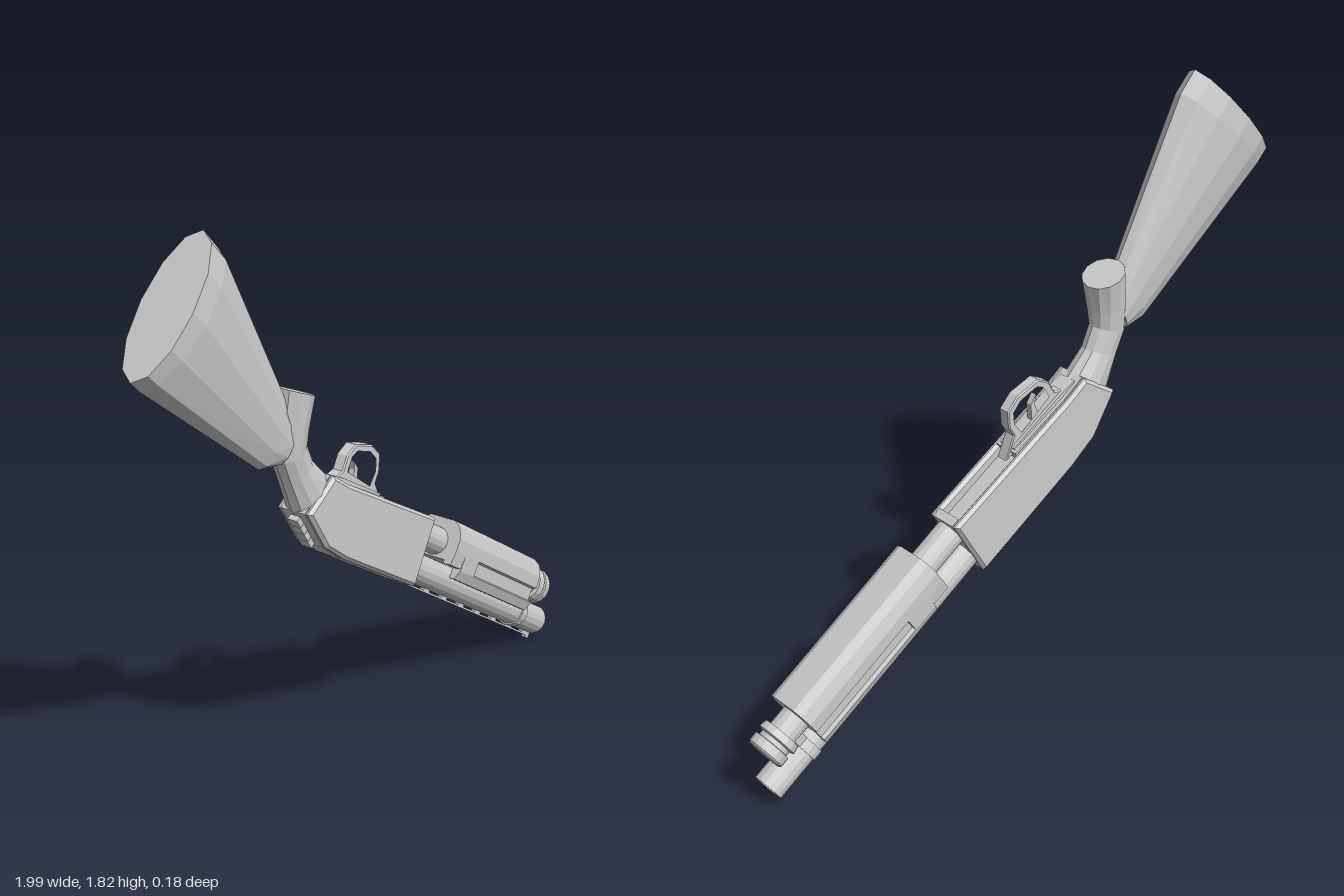
import * as THREE from 'three';

const mat = new THREE.MeshStandardMaterial({ color: 0xcccccc, flatShading: true });
const thin = new THREE.MeshStandardMaterial({ color: 0xcccccc, flatShading: true, side: THREE.DoubleSide });

function add(parent, name, geometry, material = mat) {
  const mesh = new THREE.Mesh(geometry, material);
  mesh.name = name;
  parent.add(mesh);
  return mesh;
}

const toShape = (pts) => new THREE.Shape(pts.map(([x, y]) => new THREE.Vector2(x, y)));

// Side profile extruded from z0 to z1, bevelled inside those limits
function slab(pts, z0, z1, bevel = 0, holes = []) {
  const shape = toShape(pts);
  holes.forEach((h) => shape.holes.push(toShape(h)));
  const geo = new THREE.ExtrudeGeometry(shape, {
    depth: z1 - z0 - 2 * bevel, bevelEnabled: bevel > 0, bevelThickness: bevel,
    bevelSize: bevel, bevelOffset: -bevel, bevelSegments: 1,
  });
  return geo.translate(0, 0, z0 + bevel);
}

// Elliptical sections, each [x1, y1, x2, y2, half width], joined into a closed body
function loft(sections, sides = 12) {
  const pos = [], idx = [], n = sections.length;
  for (const [x1, y1, x2, y2, hz] of sections) {
    for (let j = 0; j < sides; j++) {
      const t = (j / sides) * Math.PI * 2, c = Math.cos(t) / 2;
      pos.push((x1 + x2) / 2 + c * (x2 - x1), (y1 + y2) / 2 + c * (y2 - y1), Math.sin(t) * hz);
    }
  }
  for (let i = 0; i < n - 1; i++) {
    for (let j = 0; j < sides; j++) {
      const a = i * sides + j, b = i * sides + (j + 1) % sides;
      idx.push(a, b, a + sides, b, b + sides, a + sides);
    }
  }
  const last = (n - 1) * sides;
  for (let j = 1; j < sides - 1; j++) {
    idx.push(0, j + 1, j, last, last + j, last + j + 1);
  }
  const geo = new THREE.BufferGeometry();
  geo.setAttribute('position', new THREE.Float32BufferAttribute(pos, 3));
  geo.setIndex(idx);
  const flat = geo.toNonIndexed();
  flat.computeVertexNormals();
  return flat;
}

// Turned part along the x axis, profile given as [x, radius]
function turned(profile, y = 0, sides = 16) {
  const geo = new THREE.LatheGeometry(profile.map(([x, r]) => new THREE.Vector2(r, x)), sides);
  return geo.rotateZ(-Math.PI / 2).translate(0, y, 0);
}

// Symmetric (z, y) half outline extruded along x
function rail(half, x0, x1) {
  const pts = [...half, ...half.map(([z, y]) => [-z, y]).reverse()];
  const geo = new THREE.ExtrudeGeometry(toShape(pts), { depth: x1 - x0, bevelEnabled: false });
  return geo.rotateY(Math.PI / 2).translate(x0, 0, 0);
}

function box(x0, x1, y0, y1, width) {
  return new THREE.BoxGeometry(x1 - x0, y1 - y0, width).translate((x0 + x1) / 2, (y0 + y1) / 2, 0);
}

export function createModel() {
  const model = new THREE.Group();
  model.name = 'shotgun';

  // Shoulder stock and pistol grip
  add(model, 'stock', loft([
    [-0.995, 1.5, -0.695, 1.83, 0.088],
    [-0.96, 1.465, -0.64, 1.77, 0.09],
    [-0.49, 1.095, -0.4, 1.31, 0.05],
    [-0.42, 1.085, -0.36, 1.2, 0.045],
  ]));
  add(model, 'grip', loft([
    [-0.4, 1.31, -0.28, 1.26, 0.07],
    [-0.415, 1.19, -0.295, 1.17, 0.057],
    [-0.415, 1.09, -0.3, 1.125, 0.05],
    [-0.385, 1.02, -0.27, 1.06, 0.048],
    [-0.345, 0.92, -0.21, 1.0, 0.055],
    [-0.25, 0.8, -0.13, 0.92, 0.056],
  ]));

  // Receiver: two side walls around a core with the loading port cut in
  const back = [[-0.15, 0.95], [-0.22, 1.0], [-0.34, 0.92], [-0.3, 0.855], [-0.26, 0.79], [-0.17, 0.72], [0.18, 0.5]];
  const wall = [[0.29, 0.69], ...back];
  const core = [[0.29, 0.69], [0.265, 0.705], [0.245, 0.675], [0.025, 0.81], [0.045, 0.84], ...back];
  add(model, 'receiverCore', slab(core, -0.042, 0.042));
  add(model, 'receiverLeftWall', slab(wall, 0.036, 0.062, 0.01));
  add(model, 'receiverRightWall', slab(wall, -0.062, -0.036, 0.01));

  // Trigger guard and trigger
  add(model, 'triggerGuard', slab(
    [[-0.2, 0.96], [-0.13, 0.975], [-0.107, 1.015], [-0.065, 1.037], [0.015, 1.01], [0.053, 0.97],
      [0.048, 0.915], [0.03, 0.885], [0.06, 0.81], [-0.15, 0.93]],
    -0.02, 0.02, 0.004,
    [[[-0.113, 0.965], [-0.088, 1.008], [-0.06, 1.02], [0.006, 0.996], [0.036, 0.963],
      [0.032, 0.92], [0.0, 0.88]]]));
  add(model, 'guardPlate', slab([[-0.2, 0.99], [-0.14, 0.96], [0.04, 0.85], [0.02, 0.82], [-0.2, 0.95]], -0.03, 0.03));
  add(model, 'trigger', slab([[-0.08, 0.9], [-0.06, 0.955], [-0.065, 0.985], [-0.045, 0.955], [-0.05, 0.89]], -0.01, 0.01));

  // Ridged safety on the wrist
  for (let i = 0; i < 4; i++) {
    const ridge = add(model, 'safetyRidge', new THREE.BoxGeometry(0.03, 0.018, 0.035));
    ridge.position.set(-0.328 + i * 0.016, 0.885 - i * 0.027, 0);
    ridge.rotation.z = -1.0;
  }

  // Barrel assembly: local x runs forward, y = 0 is the magazine tube axis
  const front = new THREE.Group();
  front.name = 'barrelAssembly';
  front.position.set(0.963, 0.187, 0);
  front.rotation.z = -0.576;
  model.add(front);

  const axis = -0.104;
  add(front, 'barrel', turned([[-0.86, 0], [-0.86, 0.048], [0.061, 0.048], [0.061, 0.037], [-0.12, 0.037], [-0.12, 0]], axis), thin);
  add(front, 'sightRib', box(-0.83, 0.055, -0.164, -0.158, 0.016));
  for (let i = 0; i < 8; i++) {
    const x = -0.8 + i * 0.115;
    add(front, 'ribPost', box(x, x + 0.035, -0.16, -0.148, 0.014));
  }
  add(front, 'bead', box(0.035, 0.058, -0.171, -0.15, 0.014));
  add(front, 'magazineTube', turned([[-0.86, 0], [-0.86, 0.045], [-0.06, 0.045], [-0.06, 0]]));
  add(front, 'magazineCap', turned([
    [-0.078, 0], [-0.078, 0.06], [-0.054, 0.064], [-0.05, 0.05], [-0.036, 0.05], [-0.034, 0.06],
    [-0.006, 0.06], [0, 0.054], [0, 0]]));
  add(front, 'barrelClamp', box(-0.115, -0.082, -0.1, -0.02, 0.06));
  add(front, 'barrelBand', turned([[-0.115, 0.046], [-0.115, 0.053], [-0.082, 0.053], [-0.082, 0.046]], axis));

  // Sliding fore-end, grooved along both sides and open over the barrel
  const top = [[0.045, 0.076], [0.07, 0.06], [0.085, 0.025], [0.085, -0.015]];
  const lip = [[0.083, -0.065], [0.07, -0.095], [0.053, -0.095], [0.053, -0.05]];
  const groove = [[0.07, -0.02], [0.07, -0.06]];
  add(front, 'foreEndRear', rail([...top, [0.08, -0.06], [0.053, -0.062], [0.053, -0.05]], -0.705, -0.64));
  add(front, 'foreEndMiddle', rail([...top, ...lip], -0.64, -0.55));
  add(front, 'foreEndGrooved', rail([...top, ...groove, ...lip], -0.55, -0.14));

  // The whole piece is turned very slightly off the x axis
  model.rotation.y = 0.006;
  return model;
}
